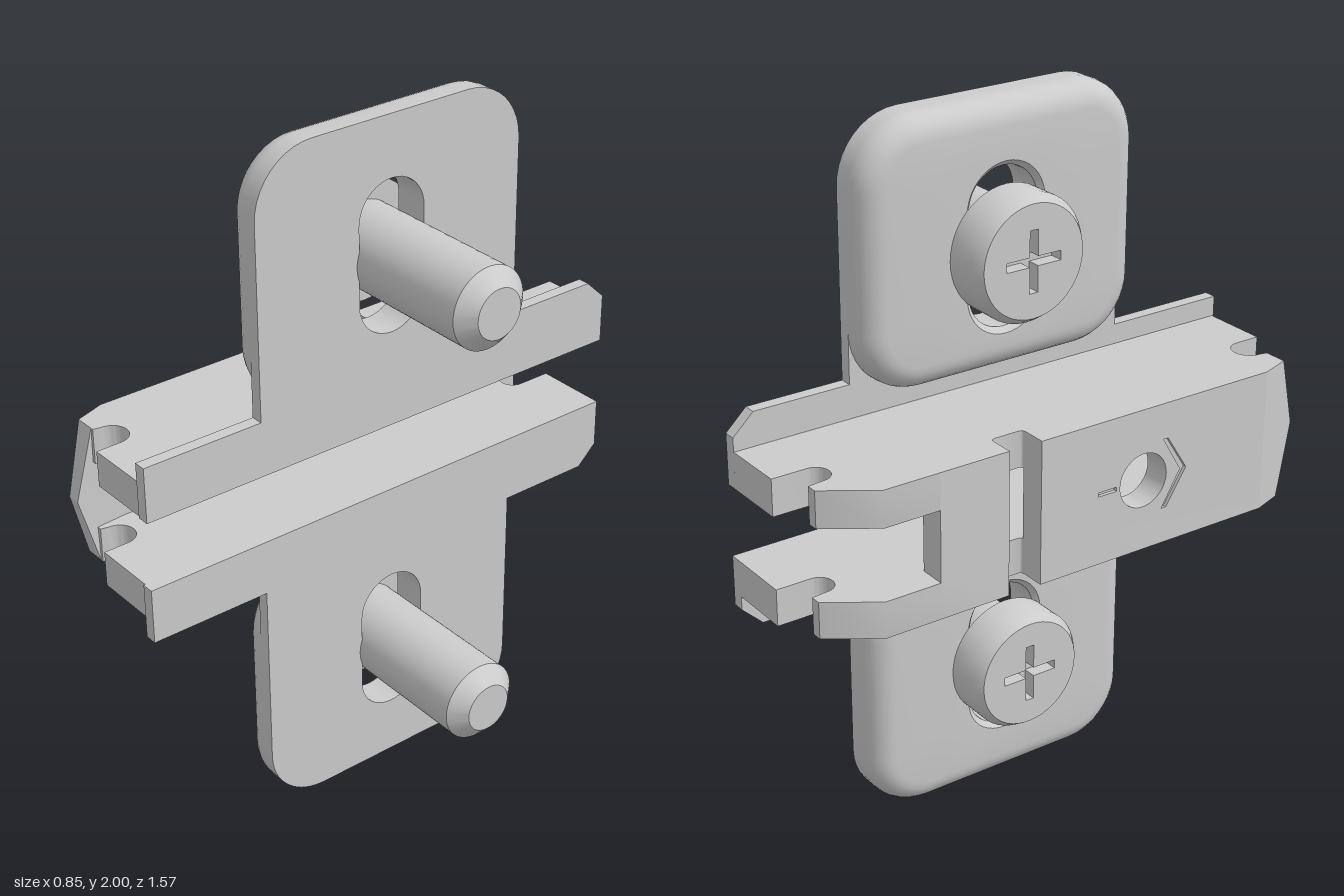
import * as THREE from 'three';
import { toCreasedNormals } from 'three/addons/utils/BufferGeometryUtils.js';

const MID = 1;                       // height of the mirror plane
const IN = 0.102, OUT = 0.206;       // inner and outer face of the rail walls
const ZC = -0.006;                   // z centre of wings and screws
const SCREW = 0.605;                 // screw height above / below MID
const material = new THREE.MeshStandardMaterial({ color: 0xcccccc });

function add(parent, name, geometry, crease = 0.6) {
  const mesh = new THREE.Mesh(toCreasedNormals(geometry, crease), material);
  mesh.name = name;
  parent.add(mesh);
  return mesh;
}

function poly(points, Type = THREE.Shape) {
  return new Type(points.map(p => new THREE.Vector2(...p)));
}

// Shape drawn in (z, y), thickened from x1 down to x0
function plateX(shape, x0, x1) {
  return new THREE.ExtrudeGeometry(shape, { depth: x1 - x0, bevelEnabled: false, curveSegments: 24 })
    .rotateY(-Math.PI / 2).translate(x1, 0, 0);
}

// Shape drawn in (x, z), thickened from y1 down to y0
function plateY(shape, y0, y1, steps = 1) {
  return new THREE.ExtrudeGeometry(shape, { depth: y1 - y0, steps, bevelEnabled: false, curveSegments: 16 })
    .rotateX(Math.PI / 2).translate(0, y1, 0);
}

// Thin bar outline between two points, used for grooves
function bar(a, b, w = 0.012) {
  const d = Math.hypot(b[0] - a[0], b[1] - a[1]);
  const n = [-(b[1] - a[1]) / d * w / 2, (b[0] - a[0]) / d * w / 2];
  return poly([[a[0] + n[0], a[1] + n[1]], [b[0] + n[0], b[1] + n[1]],
    [b[0] - n[0], b[1] - n[1]], [a[0] - n[0], a[1] - n[1]]], THREE.Path);
}

// Rounded rectangle ring at depth x, always with the same number of points
function ring(x, cy, hw, hh, r, k = 10) {
  const pts = [];
  [[1, 1], [-1, 1], [-1, -1], [1, -1]].forEach(([sz, sy], q) => {
    for (let i = 0; i <= k; i++) {
      const a = (q + i / k) * Math.PI / 2;
      pts.push([x, cy + sy * (hh - r) + r * Math.sin(a), ZC + sz * (hw - r) + r * Math.cos(a)]);
    }
  });
  return pts;
}

function loft(rings) {
  const n = rings[0].length, index = [];
  for (let j = 0; j < rings.length - 1; j++) {
    for (let i = 0; i < n; i++) {
      const a = j * n + i, b = j * n + (i + 1) % n;
      index.push(a, b, a + n, b, b + n, a + n);
    }
  }
  const g = new THREE.BufferGeometry();
  g.setAttribute('position', new THREE.Float32BufferAttribute(rings.flat(2), 3));
  g.setIndex(index);
  return g;
}

// Wing pad: rounded front edges, flat back and a long slot
function wingGeometry(s) {
  const cy = MID + s * 0.6325, hw = 0.431, hh = 0.3675, r = 0.18, b = 0.07;
  const slotY = MID + s * SCREW;
  const rings = [ring(0, cy, hw, hh, r)];
  for (let i = 0; i <= 6; i++) {
    const a = i / 6 * Math.PI / 2, inset = b * (1 - Math.cos(a));
    rings.push(ring(-0.05 - b * Math.sin(a), cy, hw - inset, hh - inset, r - inset));
  }
  rings.push(ring(-0.12, slotY, 0.122, 0.235, 0.122));
  rings.push(ring(-0.105, slotY, 0.107, 0.22, 0.107));
  rings.push(ring(0, slotY, 0.107, 0.22, 0.107));
  rings.push(rings[0]);
  return loft(rings);
}

// Side profile of a rail wall with hook notches and the cross slot
function wallShape() {
  const s = new THREE.Shape();
  s.moveTo(0, -0.78);
  s.lineTo(-0.22, -0.78);
  s.lineTo(-0.22, -0.68);
  s.absarc(-0.26, -0.68, 0.04, 0, Math.PI, false);
  s.lineTo(-0.305, -0.727);
  s.lineTo(-0.335, -0.727);
  s.lineTo(-0.428, -0.59);
  s.lineTo(-0.428, -0.215);
  s.lineTo(-0.36, -0.215);
  s.quadraticCurveTo(-0.345, -0.215, -0.345, -0.2);
  s.lineTo(-0.345, -0.13);
  s.quadraticCurveTo(-0.345, -0.115, -0.36, -0.115);
  s.lineTo(-0.428, -0.115);
  s.lineTo(-0.428, 0.64);
  s.lineTo(-0.398, 0.727);
  s.lineTo(-0.33, 0.727);
  s.lineTo(-0.325, 0.705);
  s.absarc(-0.277, 0.705, 0.048, Math.PI, Math.PI * 2, false);
  s.lineTo(-0.229, 0.78);
  s.lineTo(0, 0.78);
  return s;
}

function webShape(z0, z1) {
  return poly([[z0, MID - OUT], [z1, MID - OUT], [z1, MID + OUT], [z0, MID + OUT]]);
}

function roundHole(z, y, r) {
  const p = new THREE.Path();
  p.absarc(z, y, r, 0, Math.PI * 2, true);
  return p;
}

function buildRail(parent) {
  // Short web piece behind the cross slot
  add(parent, 'rearWeb', plateX(webShape(-0.425, -0.215), -0.428, -0.35));

  // Long web piece with a hole; the thin outer skin carries the marker grooves
  const hz = 0.22;
  const core = webShape(-0.115, 0.65);
  core.holes.push(roundHole(hz, MID, 0.078));
  add(parent, 'frontWeb', plateX(core, -0.418, -0.35));
  const skin = webShape(-0.115, 0.64);
  skin.holes.push(roundHole(hz, MID, 0.078),
    bar([hz - 0.15, MID], [hz - 0.09, MID]),
    poly([[hz + 0.06, MID + 0.11], [hz + 0.075, MID + 0.11], [hz + 0.145, MID],
      [hz + 0.075, MID - 0.11], [hz + 0.06, MID - 0.11], [hz + 0.125, MID]], THREE.Path));
  add(parent, 'frontWebSkin', plateX(skin, -0.428, -0.418));

  // Tapered nose, drawn out to a point at mid height
  const nose = plateY(poly([[-0.428, 0.64], [-0.398, 0.727], [-0.338, 0.727], [-0.35, 0.64]]),
    MID - OUT, MID + OUT, 2);
  const p = nose.attributes.position;
  for (let i = 0; i < p.count; i++) {
    if (Math.abs(p.getY(i) - MID) < 0.01 && p.getZ(i) > 0.7) {
      p.setZ(i, 0.785);
      if (p.getX(i) < -0.37) p.setX(i, -0.378);
    }
  }
  add(parent, 'nose', nose, 0.1);
}

function buildHalf(parent, s, side) {
  // Rail wall
  const ys = [MID + s * IN, MID + s * OUT].sort((a, b) => a - b);
  add(parent, side + 'RailWall', plateY(wallShape(), ys[0], ys[1]));

  // Thin foot flange, running up behind the square corners of the wing
  const outline = [[0.785, IN], [0.785, 0.264], [0.425, 0.264], [0.425, 0.46], [0.24, 0.3],
    [-0.24, 0.3], [-0.437, 0.46], [-0.437, 0.302], [-0.72, 0.302], [-0.78, 0.245], [-0.78, IN]];
  add(parent, side + 'Flange', plateX(poly(outline.map(([z, y]) => [z, MID + s * y])), -0.036, 0));

  add(parent, side + 'Wing', wingGeometry(s));
  const screw = buildScrew();
  screw.name = side + 'Screw';
  screw.position.set(0, MID + s * SCREW, ZC);
  parent.add(screw);
}

function buildScrew() {
  const g = new THREE.Group();
  const profile = [[0.155, -0.24], [0.175, -0.21], [0.175, -0.12], [0.115, -0.12],
    [0.115, 0.378], [0.07, 0.42], [0, 0.42]].map(p => new THREE.Vector2(...p));
  add(g, 'screwBody', new THREE.LatheGeometry(profile, 48).rotateZ(-Math.PI / 2));

  // Head face with a cross recess
  const face = new THREE.Shape();
  face.absarc(0, 0, 0.155, 0, Math.PI * 2, false);
  const w = 0.013, l = 0.085;
  face.holes.push(poly([[w, w], [w, l], [-w, l], [-w, w], [-l, w], [-l, -w], [-w, -w],
    [-w, -l], [w, -l], [w, -w], [l, -w], [l, w]], THREE.Path));
  add(g, 'screwHeadFace', plateX(face, -0.24, -0.2));
  add(g, 'recessFloor', new THREE.CylinderGeometry(0.12, 0.12, 0.02, 24)
    .rotateZ(Math.PI / 2).translate(-0.19, 0, 0));
  return g;
}

export function createModel() {
  const model = new THREE.Group();
  model.name = 'hingeMountingPlate';
  buildRail(model);
  buildHalf(model, 1, 'upper');
  buildHalf(model, -1, 'lower');
  return model;
}
